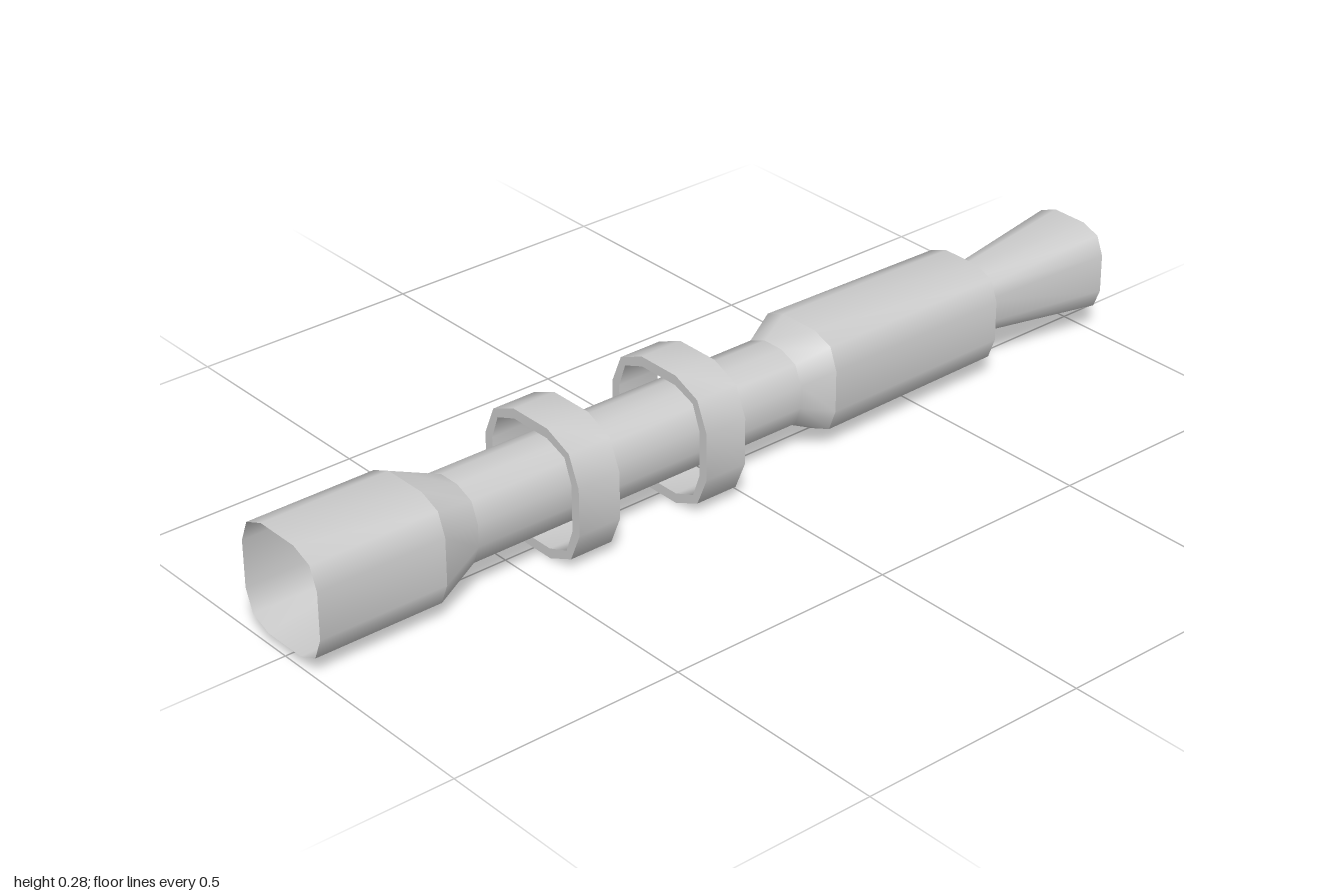
import * as THREE from 'three';

const material = new THREE.MeshStandardMaterial({ color: 0xcccccc, side: THREE.DoubleSide });
const CENTRE_Y = 0.14;

// Twelve-sided rounded square: half = half width, flat = half of the straight side, corner = diagonal point.
function section(half, flat, corner) {
  const points = [];
  for (let q = 0; q < 4; q++) {
    const c = [1, 0, -1, 0][q], s = [0, 1, 0, -1][q];
    for (const [x, y] of [[half, flat], [corner, corner], [flat, half]]) {
      points.push([x * c - y * s, x * s + y * c]);
    }
  }
  return points;
}

// Skins consecutive [section, z] stations; each band is smooth around, with a crisp edge between bands.
function loft(name, stations) {
  const positions = [], indices = [];
  for (let i = 0; i < stations.length - 1; i++) {
    const start = positions.length / 3;
    const n = stations[i][0].length;
    for (const [points, z] of [stations[i], stations[i + 1]]) {
      for (const [x, y] of points) positions.push(x, y + CENTRE_Y, z);
    }
    for (let k = 0; k < n; k++) {
      const a = start + k, b = start + (k + 1) % n;
      indices.push(a, a + n, b, b, a + n, b + n);
    }
  }
  const geometry = new THREE.BufferGeometry();
  geometry.setAttribute('position', new THREE.Float32BufferAttribute(positions, 3));
  geometry.setIndex(indices);
  geometry.computeVertexNormals();
  const mesh = new THREE.Mesh(geometry, material);
  mesh.name = name;
  return mesh;
}

export function createModel() {
  const group = new THREE.Group();
  group.name = 'scope';

  const wide = section(0.116, 0.05, 0.097);
  const slim = section(0.083, 0.024, 0.066);
  const rearWide = section(0.11, 0.045, 0.092);
  const rearEnd = section(0.105, 0.043, 0.088);
  const throat = section(0.062, 0.025, 0.05);
  const hornMouth = section(0.097, 0.041, 0.081);

  // Open front bell, tapering into the tube
  group.add(loft('frontBell', [[wide, 1], [wide, 0.72], [slim, 0.622]]));
  group.add(loft('tube', [[slim, 0.622], [slim, -0.17]]));

  // Rear housing with its annular end face
  group.add(loft('rearHousing', [[slim, -0.17], [rearWide, -0.238], [rearEnd, -0.683], [throat, -0.683]]));
  // Flared rear cup
  group.add(loft('rearHorn', [[throat, -0.683], [hornMouth, -1]]));

  // Two free-standing mounting rings around the tube
  const outer = section(0.14, 0.05, 0.113);
  const inner = section(0.119, 0.049, 0.1);
  for (const [name, front] of [['frontRing', 0.432], ['rearRing', 0.122]]) {
    const back = front - 0.097;
    group.add(loft(name, [[inner, front], [outer, front], [outer, back], [inner, back], [inner, front]]));
  }
  return group;
}
